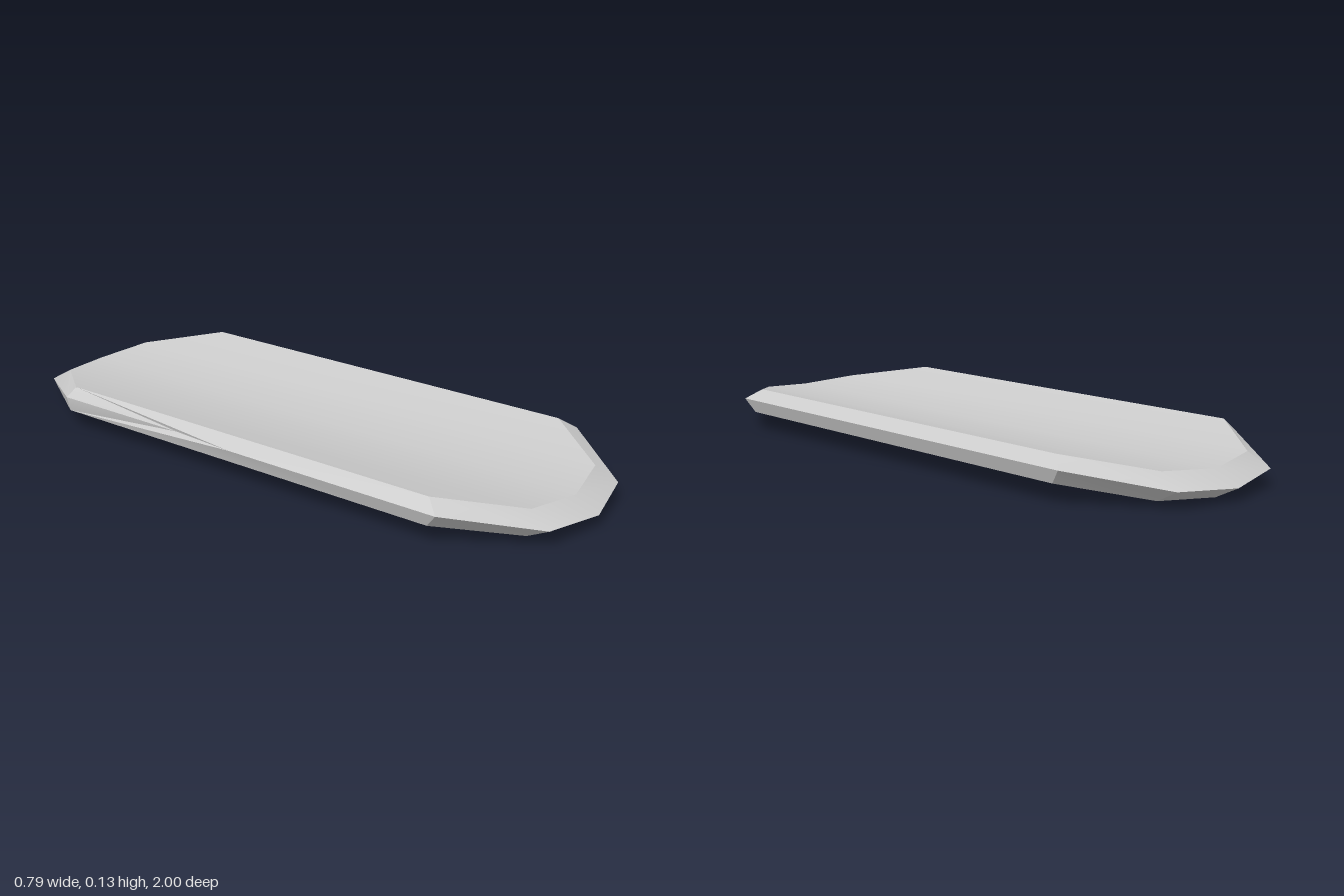
import * as THREE from 'three';
import { toCreasedNormals } from 'three/addons/utils/BufferGeometryUtils.js';

// Half outlines, centre to side: [x, y, z]
const TOP = [[0, 0.08, 0.927], [0.183, 0.094, 0.89], [0.355, 0.132, 0.675]];
const RIM = [[0, 0.038, 1], [0.2, 0.053, 0.957], [0.393, 0.1, 0.72]];
const BASE = [[0, 0, 0.925], [0.192, 0.015, 0.885], [0.377, 0.057, 0.685]];

// Lengthwise ring of one column: top, rim, base at the front, then back again
function ring(column) {
  const i = Math.abs(column), s = Math.sign(column);
  const front = [TOP, RIM, BASE].map(o => [o[i][0] * s, o[i][1], o[i][2]]);
  const back = front.map(([x, y, z]) => [x, y, -z]).reverse();
  return [...front, ...back];
}

function boardGeometry() {
  const positions = [];
  const tri = (a, b, c) => positions.push(...a, ...b, ...c);
  const quad = (a, b, c, d) => { tri(a, b, c); tri(a, c, d); };

  const rings = [-2, -1, 0, 1, 2].map(ring);
  // Worn corner at the back of the right edge
  rings[0][4] = [-0.38, 0.1, -0.695];

  // Curved top and underside with bevelled ends
  for (let i = 0; i < 4; i++) {
    for (let k = 0; k < 6; k++) {
      const n = (k + 1) % 6;
      quad(rings[i][k], rings[i][n], rings[i + 1][n], rings[i + 1][k]);
    }
  }

  // Left side: upper and lower bevel
  const [lt, lr, lb, lbB, lrB, ltB] = rings[4];
  quad(lt, lr, lrB, ltB);
  quad(lr, lb, lbB, lrB);

  // Right side: the same bevels, with the rim slightly worn toward the back
  const [t, r, b, bB, rB, tB] = rings[0];
  const worn = [-0.377, 0.1, -0.22], mid = [-0.393, 0.1, 0];
  tri(tB, rB, worn);
  tri(tB, worn, mid);
  tri(tB, mid, t);
  tri(t, mid, r);
  tri(rB, bB, worn);
  tri(worn, bB, mid);
  tri(mid, bB, b);
  tri(mid, b, r);

  const geometry = new THREE.BufferGeometry();
  geometry.setAttribute('position', new THREE.Float32BufferAttribute(positions, 3));
  return toCreasedNormals(geometry, THREE.MathUtils.degToRad(25));
}

export function createModel() {
  const group = new THREE.Group();
  group.name = 'curvedBoard';
  const board = new THREE.Mesh(
    boardGeometry(),
    new THREE.MeshStandardMaterial({ color: 0xcccccc })
  );
  board.name = 'board';
  group.add(board);
  return group;
}
